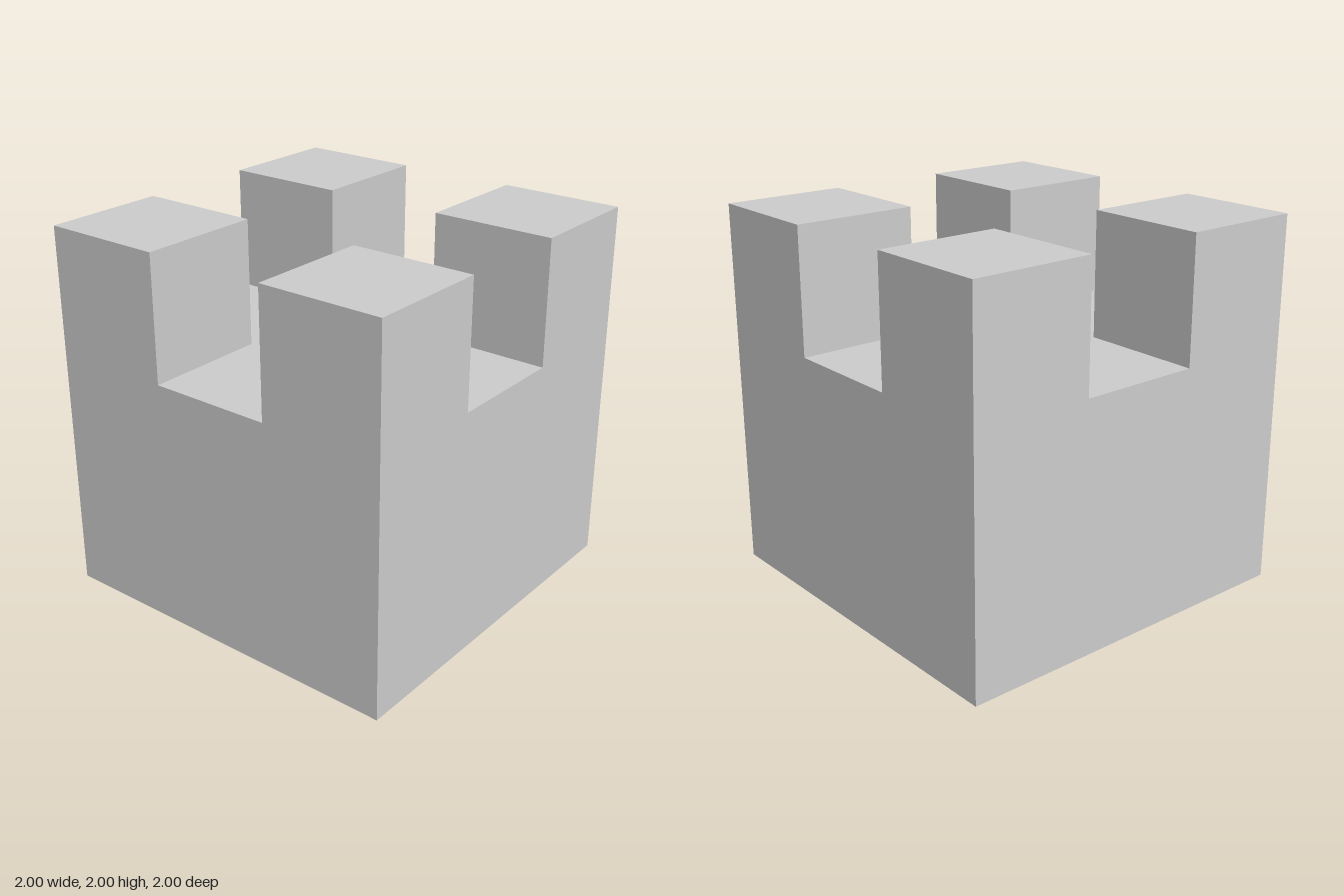
import * as THREE from 'three';

const SIZE = 2;
const UNIT = SIZE / 3; // side of each corner cube and width of the gaps

export function createModel() {
  const group = new THREE.Group();
  group.name = 'notchedCube';
  const material = new THREE.MeshStandardMaterial({ color: 0xcccccc, flatShading: true });

  const addBox = (name, w, h, d, x, y, z) => {
    const mesh = new THREE.Mesh(new THREE.BoxGeometry(w, h, d), material);
    mesh.name = name;
    mesh.position.set(x, y, z);
    group.add(mesh);
  };

  // Solid lower block
  addBox('base', SIZE, 2 * UNIT, SIZE, 0, UNIT, 0);

  // One cube on each top corner, leaving a cross-shaped channel
  for (const [sideName, sx] of [['Left', 1], ['Right', -1]]) {
    for (const [endName, sz] of [['front', 1], ['back', -1]]) {
      addBox(`${endName}${sideName}Corner`, UNIT, UNIT, UNIT, sx * UNIT, 2.5 * UNIT, sz * UNIT);
    }
  }

  return group;
}
